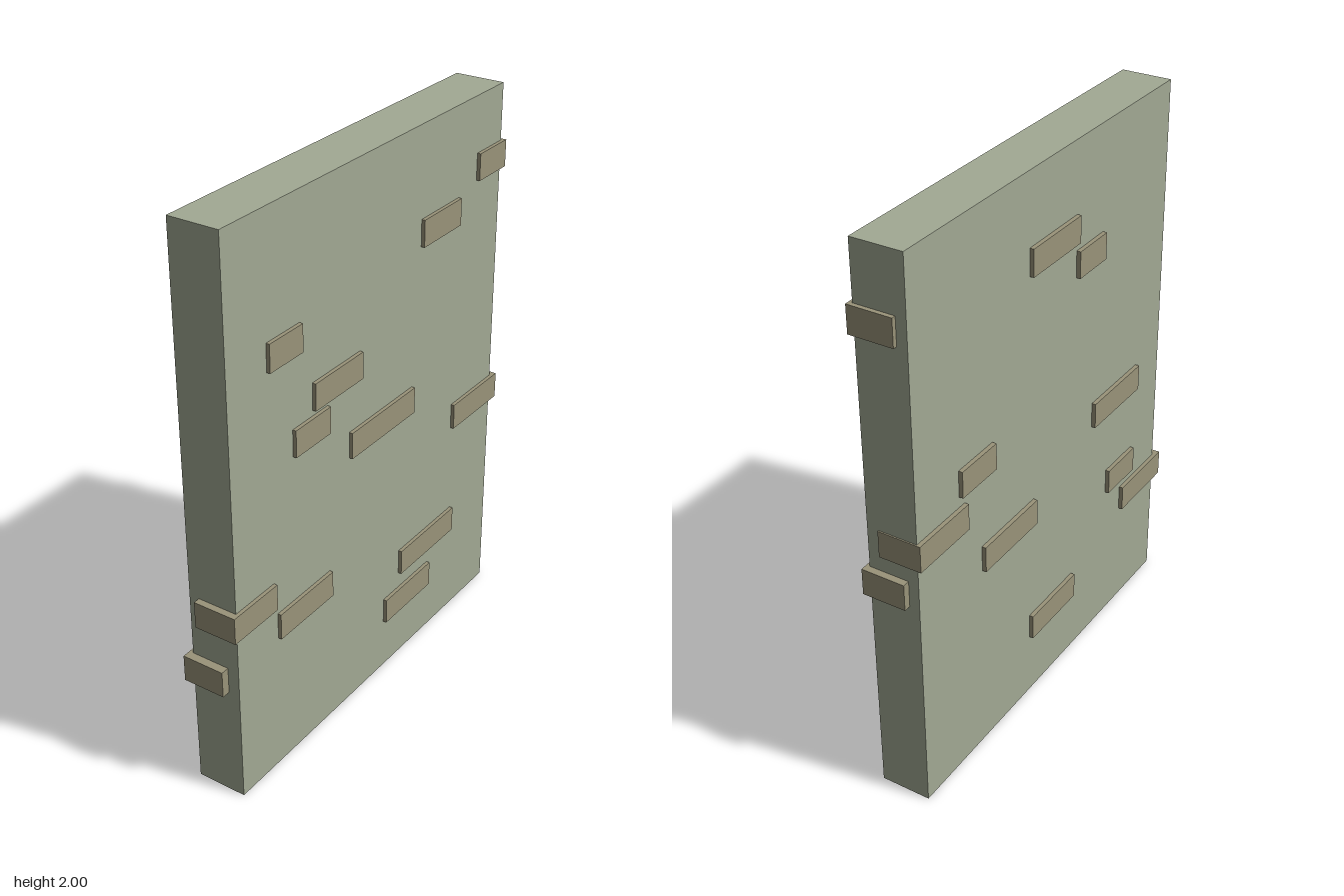
import * as THREE from 'three';

export function createModel() {
  const model = new THREE.Group();
  model.name = 'brickWall';
  const plaster = new THREE.MeshStandardMaterial({ color: 0xa2a994 });
  const stone = new THREE.MeshStandardMaterial({ color: 0x9a947a });

  // Box given by its limits on each axis
  function block(name, material, [x0, x1], [y0, y1], [z0, z1]) {
    const mesh = new THREE.Mesh(new THREE.BoxGeometry(x1 - x0, y1 - y0, z1 - z0), material);
    mesh.position.set((x0 + x1) / 2, (y0 + y1) / 2, (z0 + z1) / 2);
    mesh.name = name;
    model.add(mesh);
  }

  // Plain wall slab
  block('wallSlab', plaster, [-0.09, 0.092], [0, 2], [-0.767, 0.765]);

  // Exposed bricks: [centre height, z start, z end]
  const leftBricks = [
    [1.63, -0.495, -0.265], [1.535, 0.41, 0.575], [1.305, 0.09, 0.35],
    [1.19, 0.27, 0.455], [1.035, -0.225, 0.15], [0.56, 0.265, 0.555],
    [0.4, -0.51, -0.16], [0.242, -0.355, -0.065],
  ];
  const rightBricks = [
    [1.7, -0.13, 0.155], [1.573, 0.155, 0.325], [1.127, -0.54, -0.35],
    [0.94, 0.28, 0.595], [0.768, -0.42, -0.105], [0.597, 0.395, 0.58],
    [0.287, -0.13, 0.155],
  ];
  // Corner bricks also stand out of the front or back edge
  const leftCorners = [[1.75, -0.782, -0.61], [0.842, -0.792, -0.495], [0.687, 0.57, 0.789]];
  const rightCorners = [[0.993, -0.772, -0.51], [0.46, 0.505, 0.795]];

  function bricks(name, list, side, depth) {
    const outer = side * 0.105;
    const inner = side * (0.105 - depth);
    for (const [y, z0, z1] of list) {
      block(name, stone, [Math.min(outer, inner), Math.max(outer, inner)], [y - 0.048, y + 0.048], [z0, z1]);
    }
  }
  bricks('leftBrick', leftBricks, 1, 0.06);
  bricks('rightBrick', rightBricks, -1, 0.06);
  bricks('leftCornerBrick', leftCorners, 1, 0.158);
  bricks('rightCornerBrick', rightCorners, -1, 0.155);

  return model;
}
